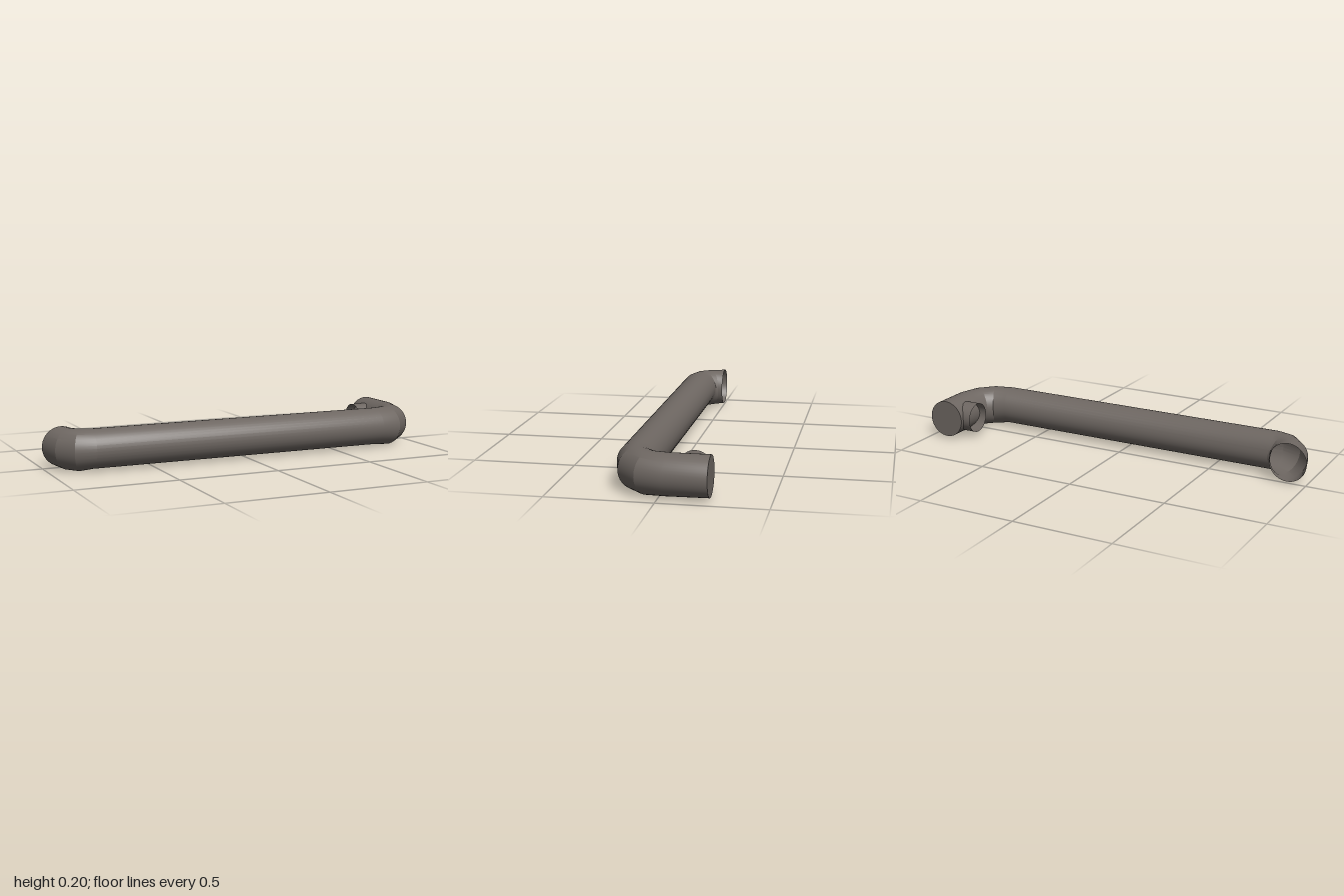
import * as THREE from 'three';
import { toCreasedNormals } from 'three/addons/utils/BufferGeometryUtils.js';

const SIDES = 40;

// Skin a run of elliptical rings. Each ring: [outerX, outerZ, innerX, innerZ, centreY, radiusY]
function skinRings(rings) {
  const pos = [], index = [];
  rings.forEach(([ox, oz, ix, iz, cy, ry], r) => {
    for (let i = 0; i < SIDES; i++) {
      const a = (i / SIDES) * Math.PI * 2, c = Math.cos(a) / 2;
      pos.push((ox + ix) / 2 + (ox - ix) * c, cy + ry * Math.sin(a), (oz + iz) / 2 + (oz - iz) * c);
      if (r === 0) continue;
      const j = (i + 1) % SIDES, p = (r - 1) * SIDES, q = r * SIDES;
      index.push(p + i, q + i, p + j, p + j, q + i, q + j);
    }
  });
  const g = new THREE.BufferGeometry();
  g.setAttribute('position', new THREE.Float32BufferAttribute(pos, 3));
  g.setIndex(index);
  return toCreasedNormals(g, 0.33);
}

export function createModel() {
  const group = new THREE.Group();
  const metal = new THREE.MeshStandardMaterial({ color: 0x6e6762, side: THREE.DoubleSide });
  metal.name = 'warm grey metal';

  const add = (name, geometry) => {
    const mesh = new THREE.Mesh(geometry, metal);
    mesh.name = name;
    group.add(mesh);
    return mesh;
  };

  // Main pipe: open short elbow, long straight run, wide elbow, closed end
  add('bentPipe', skinRings([
    [-1, 0, -0.81, 0, 0.103, 0.096],
    [-0.968, 0.112, -0.808, 0.022, 0.1, 0.099],
    [-0.898, 0.195, -0.8, 0.033, 0.1, 0.1],
    [-0.8, 0.227, -0.79, 0.037, 0.105, 0.095],
    [0.75, 0.227, 0.72, 0.037, 0.105, 0.095],
    [0.866, 0.195, 0.782, 0.025, 0.1, 0.1],
    [0.963, 0.1, 0.802, 0, 0.1, 0.099],
    [1, -0.03, 0.81, -0.05, 0.104, 0.096],
    [1, -0.23, 0.81, -0.23, 0.105, 0.095],
  ]));

  // Flat cap closing the long end
  const cap = add('endCap', new THREE.CircleGeometry(0.095, SIDES));
  cap.rotation.y = Math.PI;
  cap.position.set(0.905, 0.105, -0.23);

  // Open side branch facing inward
  const stub = add('sideBranch', new THREE.CylinderGeometry(0.076, 0.076, 0.1, SIDES, 1, true));
  stub.rotation.z = Math.PI / 2;
  stub.position.set(0.82, 0.105, -0.137);

  return group;
}
